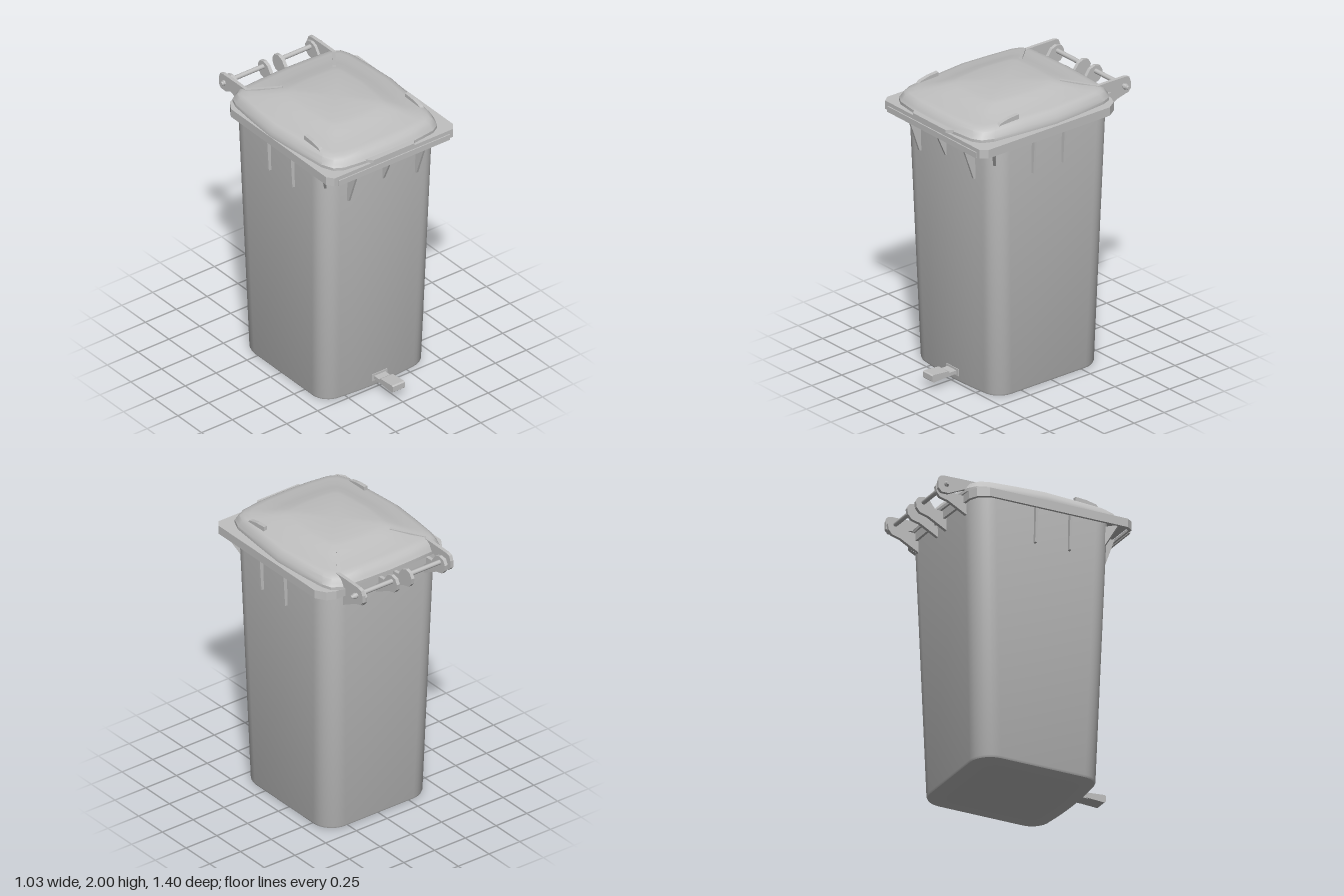
import * as THREE from 'three';
import { toCreasedNormals } from 'three/addons/utils/BufferGeometryUtils.js';

const grey = new THREE.MeshStandardMaterial({ color: 0xc0c0c0 });
grey.name = 'grey plastic';

function add(parent, name, geometry, x = 0, y = 0, z = 0) {
  const mesh = new THREE.Mesh(geometry, grey);
  mesh.name = name;
  mesh.position.set(x, y, z);
  parent.add(mesh);
  return mesh;
}

// Skin over closed rings of [x, y, z], listed bottom to top, capped at both ends
function loft(rings, crease) {
  const n = rings[0].length, pos = rings.flat(2), idx = [];
  for (let i = 0; i < rings.length - 1; i++) {
    for (let j = 0; j < n; j++) {
      const k = (j + 1) % n, a = i * n + j, b = i * n + k;
      idx.push(a, b, b + n, a, b + n, a + n);
    }
  }
  const last = (rings.length - 1) * n, c = rings.length * n;
  const middle = (r) => [0, r[0][1], r.reduce((s, p) => s + p[2], 0) / n];
  pos.push(...middle(rings[0]), ...middle(rings[rings.length - 1]));
  for (let j = 0; j < n; j++) {
    const k = (j + 1) % n;
    idx.push(c, k, j, c + 1, last + j, last + k);
  }
  const g = new THREE.BufferGeometry();
  g.setAttribute('position', new THREE.Float32BufferAttribute(pos, 3));
  g.setIndex(idx);
  return toCreasedNormals(g, crease);
}

// Rounded rectangle ring with a gently bowed front and back
function bodyRing(y, hx, front, back, inset = 0) {
  const ring = [], bow = 0.018;
  const rf = 0.13, rb = 0.15;
  const corners = [
    [hx - rf, front - bow - rf, rf, 0], [hx - rb, back + rb, rb, 1],
    [-hx + rb, back + rb, rb, 2], [-hx + rf, front - bow - rf, rf, 3],
  ];
  for (const [cx, cz, r, q] of corners) {
    for (let i = 0; i <= 8; i++) {
      const a = (q + i / 8) * Math.PI / 2;
      ring.push([cx + (r - inset) * Math.sin(a), y, cz + (r - inset) * Math.cos(a)]);
    }
  }
  // front edge between the last corner and the first
  const w = hx - rf;
  for (const t of [-0.75, -0.5, -0.25, 0, 0.25, 0.5, 0.75]) {
    ring.push([w * t, y, front - inset - bow * t * t]);
  }
  return ring;
}

// Full outline from its right half, listed front to back
function mirrored(half) {
  return [...half, ...half.slice().reverse().filter((p) => p[0] > 0).map(([x, z]) => [-x, z])];
}

const shapeOf = (pts) => new THREE.Shape(pts.map(([x, y]) => new THREE.Vector2(x, y)));

// Horizontal slab from an [x, z] outline, top face at y = 0
function slab(pts, depth, hole) {
  const s = shapeOf(pts);
  if (hole) s.holes.push(shapeOf(hole));
  return new THREE.ExtrudeGeometry(s, { depth, bevelEnabled: false }).rotateX(Math.PI / 2);
}

// Upright plate from a [z, y] profile, centred on x = 0
function plate(pts, thick) {
  return new THREE.ExtrudeGeometry(shapeOf(pts), { depth: thick, bevelEnabled: false })
    .translate(0, 0, -thick / 2).rotateY(-Math.PI / 2);
}

function beam(parent, name, a, b, w, h) {
  const A = new THREE.Vector3(...a), B = new THREE.Vector3(...b);
  const m = add(parent, name, new THREE.BoxGeometry(w, h, A.distanceTo(B)));
  m.position.copy(A).add(B).multiplyScalar(0.5);
  m.lookAt(B);
  return m;
}

// Tapered stiffening rib under the rim, pointing outward along angle
function rib(parent, x, z, angle, height, top, bottom) {
  const g = plate([[-0.05, 0], [top, 0], [bottom, -height + 0.01], [-0.05, -height]], 0.016);
  add(parent, 'rib', g, x, 1.81, z).rotation.y = angle;
}

export function createModel() {
  const model = new THREE.Group();
  model.name = 'wheelie bin';

  // Tapered container
  add(model, 'container', loft([
    bodyRing(0, 0.425, 0.49, -0.42, 0.02),
    bodyRing(0.006, 0.425, 0.49, -0.42, 0.006),
    bodyRing(0.02, 0.426, 0.49, -0.42),
    bodyRing(1.85, 0.472, 0.55, -0.48),
  ], 0.6));

  // Overhanging rim with a hollow skirt
  const rim = mirrored([[0, 0.655], [0.48, 0.655], [0.515, 0.61], [0.515, -0.4],
    [0.47, -0.47], [0.41, -0.497], [0, -0.505]]);
  const inner = rim.map(([x, z]) => [x * 0.965, (z - 0.075) * 0.97 + 0.075]);
  const rimGroup = new THREE.Group();
  rimGroup.name = 'rim';
  model.add(rimGroup);
  add(rimGroup, 'rimTop', slab(rim, 0.02), 0, 1.862);
  add(rimGroup, 'rimSkirt', slab(rim, 0.042, inner), 0, 1.844);
  add(rimGroup, 'frontLip', new THREE.BoxGeometry(0.9, 0.04, 0.012), 0, 1.815, 0.657);

  // Ribs on front, corners and sides
  const ribs = new THREE.Group();
  ribs.name = 'ribs';
  model.add(ribs);
  rib(ribs, 0, 0.545, 0, 0.2, 0.09, 0.005);
  for (const s of [-1, 1]) {
    rib(ribs, s * 0.275, 0.535, 0, 0.27, 0.1, 0.008);
    rib(ribs, s * 0.43, 0.49, s * Math.PI / 4, 0.14, 0.09, 0);
    for (const z of [0.205, -0.045]) rib(ribs, s * 0.465, z, s * Math.PI / 2, 0.255, 0.035, 0.02);
  }

  // Domed lid, sitting slightly to one side
  const lid = new THREE.Group();
  lid.name = 'lid';
  lid.position.x = -0.012;
  model.add(lid);
  const outline = mirrored([[0, 0.64], [0.2, 0.635], [0.36, 0.615], [0.42, 0.58], [0.455, 0.5],
    [0.48, 0.25], [0.5, 0.02], [0.485, -0.2], [0.465, -0.4], [0.44, -0.465], [0.38, -0.505],
    [0.2, -0.515], [0, -0.522]]);
  const levels = [[1.86, 1], [1.882, 1], [1.9, 0.98], [1.925, 0.955], [1.94, 0.915],
    [1.948, 0.85], [1.957, 0.74], [1.975, 0.62], [1.992, 0.51], [2, 0.44]];
  add(lid, 'lidShell', loft(levels.map(([y, s]) =>
    outline.map(([x, z]) => [x * s, y, 0.05 + (z - 0.05) * s])), 0.55));
  add(lid, 'frontTab', slab([[-0.22, 0.6], [0.22, 0.6], [0.2, 0.632], [0.165, 0.672],
    [-0.165, 0.672], [-0.2, 0.632]], 0.022), 0, 1.89);

  // Grips and hinge arms on the lid
  const arm = [[-0.42, 1.945], [-0.5, 1.946], [-0.66, 1.943], [-0.69, 1.935], [-0.703, 1.9],
    [-0.703, 1.85], [-0.68, 1.825], [-0.63, 1.825], [-0.52, 1.875], [-0.42, 1.9]];
  for (const s of [-1, 1]) {
    add(lid, 'grip', plate([[0.27, 1.93], [0.27, 1.976], [0.35, 1.97], [0.42, 1.955],
      [0.445, 1.93]], 0.027), s * 0.408);
    add(lid, 'hingeArm', plate(arm, 0.024), s * 0.358);
    beam(lid, 'armRib', [s * 0.36, 1.935, -0.425], [s * 0.205, 1.98, -0.245], 0.022, 0.026);
  }

  // Hinge brackets on the container
  const hinge = new THREE.Group();
  hinge.name = 'hinge';
  model.add(hinge);
  const bracket = [[-0.45, 1.85], [-0.45, 1.715], [-0.48, 1.725], [-0.61, 1.795], [-0.67, 1.81],
    [-0.695, 1.84], [-0.7, 1.88], [-0.68, 1.915], [-0.64, 1.925], [-0.6, 1.91], [-0.56, 1.855]];
  for (const x of [-0.327, -0.056, 0.062, 0.327]) add(hinge, 'bracket', plate(bracket, 0.024), x);

  // Hinge pin with tapered heads
  const across = (g) => g.rotateZ(-Math.PI / 2);
  add(hinge, 'pinLeft', across(new THREE.CylinderGeometry(0.016, 0.016, 0.34, 12)), 0.225, 1.885, -0.645);
  add(hinge, 'pinRight', across(new THREE.CylinderGeometry(0.016, 0.016, 0.34, 12)), -0.225, 1.885, -0.645);
  for (const s of [-1, 1]) {
    const head = across(new THREE.CylinderGeometry(0.012, 0.022, 0.035, 6));
    add(hinge, 'pinHead', head, s * 0.39, 1.885, -0.645).rotation.y = s > 0 ? 0 : Math.PI;
  }

  // Foot pedal at the front
  const pedal = new THREE.Group();
  pedal.name = 'pedal';
  pedal.position.x = 0.006;
  model.add(pedal);
  add(pedal, 'pedalPad', plate([[0.56, 0.063], [0.69, 0.056], [0.7, 0.065], [0.7, 0.104],
    [0.69, 0.11], [0.57, 0.1], [0.56, 0.095]], 0.098));
  add(pedal, 'pedalStem', new THREE.BoxGeometry(0.09, 0.024, 0.12), 0, 0.072, 0.52);
  add(pedal, 'pedalBase', new THREE.BoxGeometry(0.125, 0.05, 0.02), 0, 0.073, 0.487);
  return model;
}
